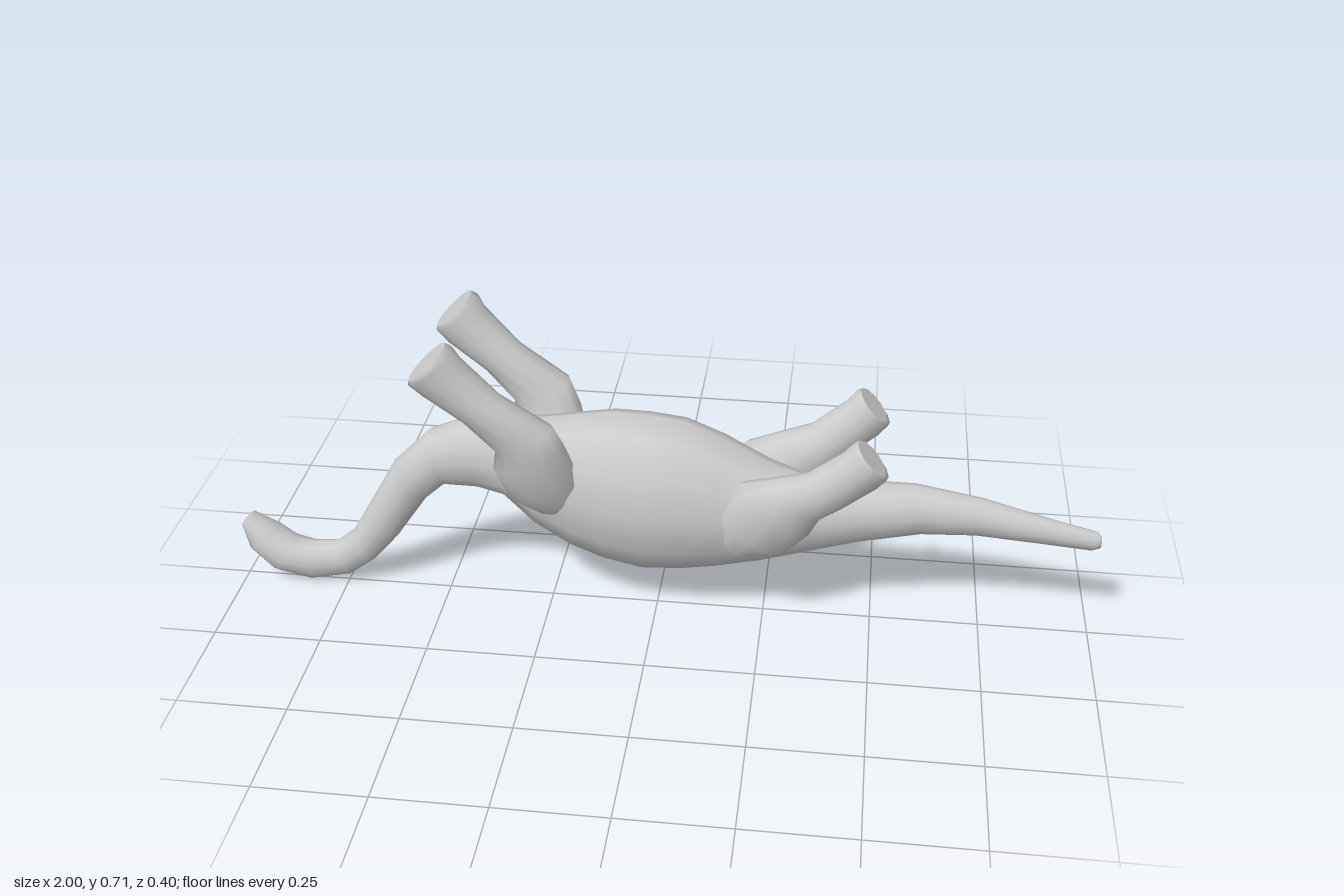
import * as THREE from 'three';

const SIDES = 12;
const material = new THREE.MeshStandardMaterial({ color: 0xcccccc });

// Lofts closed elliptical rings. Each section: [ax, ay, bx, by, halfWidthZ, centreZ]
// where a and b are opposite edge points of the ring in the xy plane.
function loft(name, sections, side = 1) {
  const pos = [], idx = [];
  const ring = ([ax, ay, bx, by, hz, cz = 0]) => {
    for (let j = 0; j < SIDES; j++) {
      const t = (j / SIDES) * Math.PI * 2, c = Math.cos(t) / 2;
      pos.push((ax + bx) / 2 + (bx - ax) * c, (ay + by) / 2 + (by - ay) * c, side * cz + hz * Math.sin(t));
    }
  };
  sections.forEach(ring);
  for (let i = 0; i < sections.length - 1; i++) {
    for (let j = 0; j < SIDES; j++) {
      const k = (j + 1) % SIDES, p = i * SIDES, q = p + SIDES;
      idx.push(p + j, p + k, q + j, p + k, q + k, q + j);
    }
  }
  // flat end caps with their own vertices
  [sections[0], sections[sections.length - 1]].forEach((s, end) => {
    const base = pos.length / 3;
    ring(s);
    for (let j = 1; j < SIDES - 1; j++) {
      if (end) idx.push(base, base + j, base + j + 1);
      else idx.push(base, base + j + 1, base + j);
    }
  });
  const geometry = new THREE.BufferGeometry();
  geometry.setAttribute('position', new THREE.Float32BufferAttribute(pos, 3));
  geometry.setIndex(idx);
  geometry.computeVertexNormals();
  const mesh = new THREE.Mesh(geometry, material);
  mesh.name = name;
  return mesh;
}

export function createModel() {
  const group = new THREE.Group();
  group.name = 'longNeckedAnimal';

  // head, neck, trunk and tail in one skin, snout to tail tip
  group.add(loft('body', [
    [-1.0, 0.145, -0.97, 0.175, 0.025],
    [-0.985, 0.085, -0.91, 0.14, 0.045],
    [-0.93, 0.03, -0.875, 0.112, 0.05],
    [-0.84, 0.003, -0.83, 0.105, 0.038],
    [-0.74, 0.025, -0.775, 0.11, 0.035],
    [-0.68, 0.07, -0.725, 0.15, 0.037],
    [-0.62, 0.14, -0.675, 0.235, 0.04],
    [-0.545, 0.25, -0.61, 0.35, 0.045],
    [-0.49, 0.3, -0.525, 0.435, 0.055],
    [-0.41, 0.3, -0.43, 0.475, 0.066],
    [-0.35, 0.285, -0.35, 0.482, 0.075],
    [-0.28, 0.215, -0.26, 0.485, 0.092],
    [-0.2, 0.165, -0.17, 0.5, 0.11],
    [-0.12, 0.135, -0.1, 0.51, 0.125],
    [-0.03, 0.117, -0.02, 0.507, 0.133],
    [0.06, 0.122, 0.06, 0.497, 0.13],
    [0.14, 0.135, 0.15, 0.46, 0.118],
    [0.24, 0.158, 0.25, 0.405, 0.1],
    [0.34, 0.185, 0.34, 0.372, 0.075],
    [0.46, 0.22, 0.45, 0.368, 0.06],
    [0.6, 0.25, 0.58, 0.37, 0.048],
    [0.72, 0.255, 0.73, 0.345, 0.037],
    [0.88, 0.242, 0.89, 0.302, 0.026],
    [0.98, 0.233, 0.99, 0.278, 0.02],
    [1.0, 0.24, 1.0, 0.268, 0.012],
  ]));

  // paired legs, each from inside the trunk out to a flat foot
  for (const side of [1, -1]) {
    const tag = side > 0 ? 'Left' : 'Right';
    group.add(loft('front' + tag + 'Leg', [
      [-0.16, 0.3, -0.28, 0.28, 0.05, 0.045],
      [-0.165, 0.38, -0.33, 0.33, 0.062, 0.078],
      [-0.19, 0.47, -0.355, 0.41, 0.058, 0.103],
      [-0.215, 0.525, -0.345, 0.465, 0.05, 0.115],
      [-0.33, 0.6, -0.41, 0.54, 0.05, 0.122],
      [-0.41, 0.685, -0.495, 0.605, 0.058, 0.127],
      [-0.425, 0.708, -0.522, 0.635, 0.068, 0.131],
      [-0.44, 0.717, -0.52, 0.645, 0.064, 0.131],
    ], side));
    group.add(loft('rear' + tag + 'Leg', [
      [0.25, 0.2, 0.12, 0.24, 0.05, 0.05],
      [0.305, 0.225, 0.14, 0.32, 0.065, 0.075],
      [0.35, 0.28, 0.19, 0.4, 0.058, 0.092],
      [0.375, 0.335, 0.25, 0.418, 0.05, 0.101],
      [0.425, 0.375, 0.335, 0.445, 0.044, 0.11],
      [0.495, 0.435, 0.41, 0.505, 0.046, 0.116],
      [0.515, 0.46, 0.435, 0.533, 0.05, 0.118],
      [0.508, 0.47, 0.445, 0.538, 0.045, 0.118],
    ], side));
  }
  return group;
}
